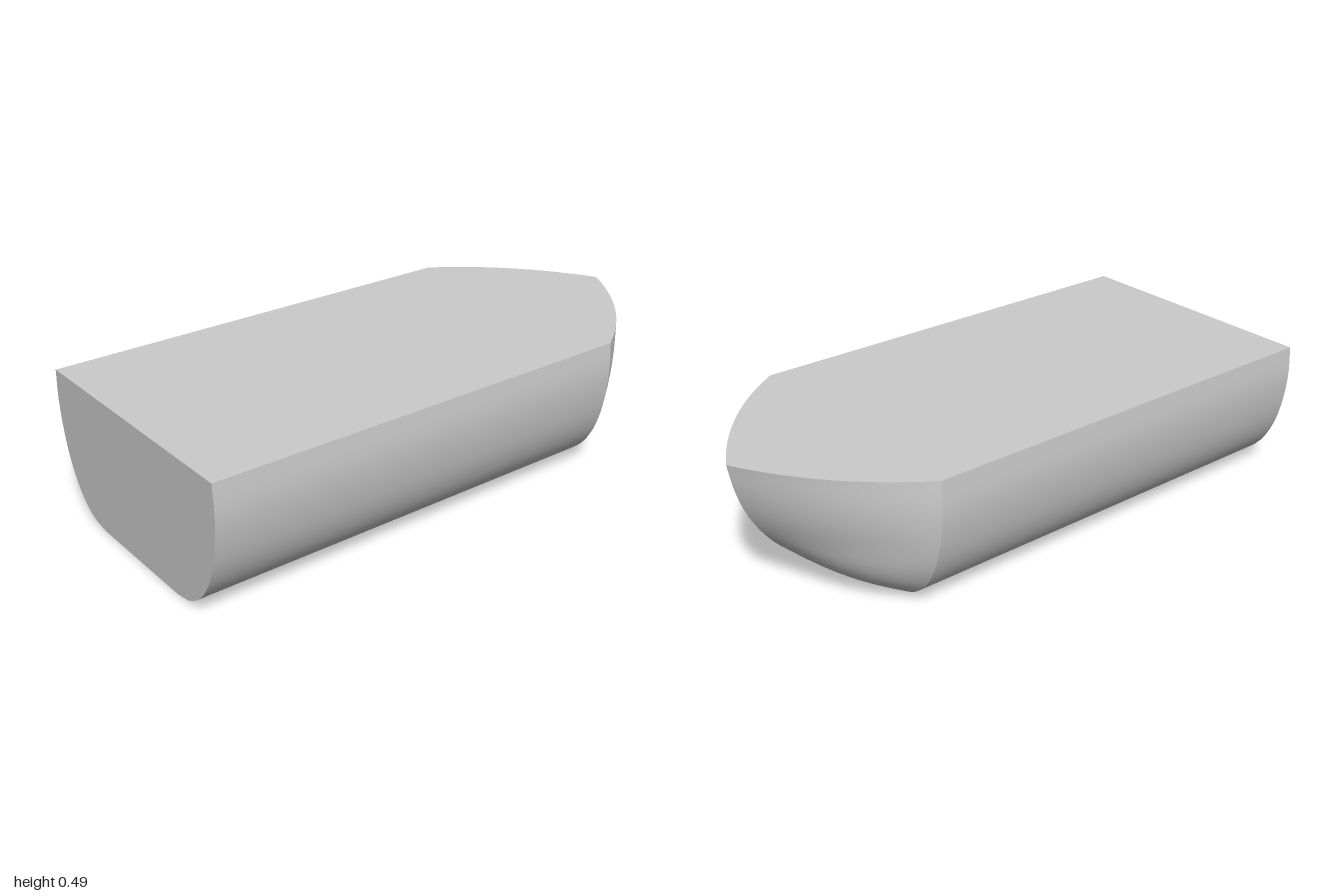
import * as THREE from 'three';
import { toCreasedNormals } from 'three/addons/utils/BufferGeometryUtils.js';

const STERN = -1, SHOULDER = 0.565, LEVELS = 24, BOW_STEPS = 14;

// Half width, height and stem reach of the hull, from keel to deck
const profile = new THREE.CatmullRomCurve3([
  [0.23, 0, 0.60], [0.30, 0.013, 0.645], [0.36, 0.05, 0.72], [0.41, 0.108, 0.80],
  [0.45, 0.19, 0.88], [0.475, 0.29, 0.943], [0.485, 0.39, 0.98], [0.48, 0.488, 1],
].map(p => new THREE.Vector3(...p)));

// One waterline: port stern, port shoulder, round the bow, back to starboard stern
function waterline({ x: width, y, z: stem }) {
  const sharp = THREE.MathUtils.smoothstep(y, 0, 0.25);
  const lerp = THREE.MathUtils.lerp;
  const control = new THREE.Vector2(
    lerp(SHOULDER, stem, lerp(1, 0.64, sharp)), width * lerp(0.6, 0.63, sharp));
  const side = new THREE.QuadraticBezierCurve(
    new THREE.Vector2(SHOULDER, width), control, new THREE.Vector2(stem, 0)
  ).getPoints(BOW_STEPS);
  side.unshift(new THREE.Vector2(STERN, width));
  const other = side.slice(0, -1).reverse().map(p => new THREE.Vector2(p.x, -p.y));
  return [...side, ...other].map(p => [p.x, Math.max(0, y), p.y]);
}

// Stack the waterlines and close the keel, deck and transom
function hullGeometry() {
  const rings = profile.getPoints(LEVELS).map(waterline);
  const n = rings[0].length, index = [];
  for (let i = 0; i < LEVELS; i++) {
    for (let j = 0; j < n; j++) {
      const k = (j + 1) % n;
      const a = i * n + j, b = i * n + k, c = b + n, d = a + n;
      index.push(a, b, c, a, c, d);
    }
  }
  const top = LEVELS * n, keelCentre = rings.length * n, deckCentre = keelCentre + 1;
  for (let j = 0; j < n; j++) {
    const k = (j + 1) % n;
    index.push(keelCentre, k, j, deckCentre, top + j, top + k);
  }
  const positions = [...rings.flat(2), 0, 0, 0, 0, rings[LEVELS][0][1], 0];
  const geometry = new THREE.BufferGeometry();
  geometry.setAttribute('position', new THREE.Float32BufferAttribute(positions, 3));
  geometry.setIndex(index);
  return toCreasedNormals(geometry, 0.4);
}

export function createModel() {
  const group = new THREE.Group();
  group.name = 'boatHull';
  const hull = new THREE.Mesh(hullGeometry(), new THREE.MeshStandardMaterial({ color: 0xcccccc }));
  hull.name = 'hull';
  group.add(hull);
  return group;
}
